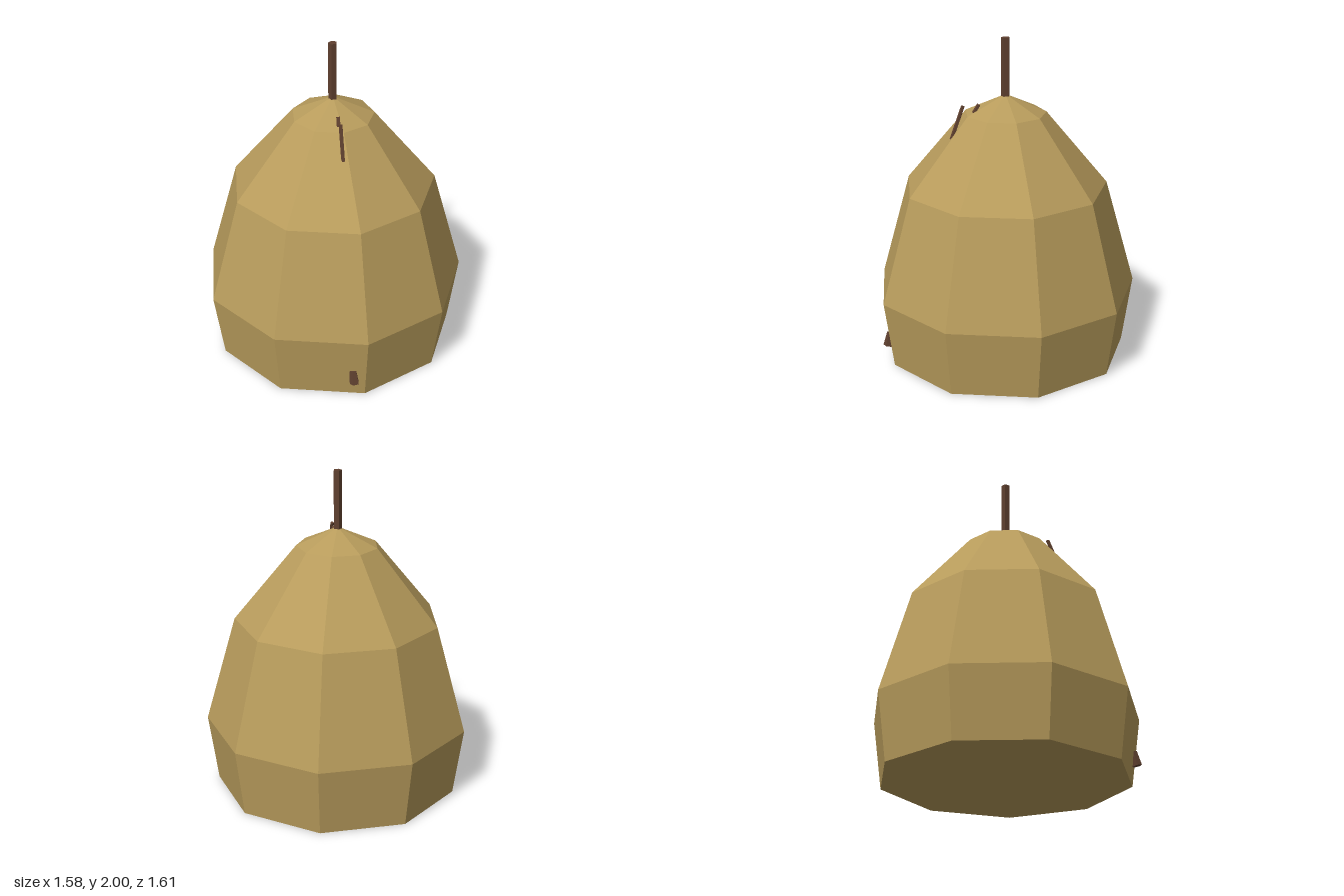
import * as THREE from 'three';

export function createModel() {
  const group = new THREE.Group();
  const straw = new THREE.MeshStandardMaterial({ color: 0xb89c5c, flatShading: true });
  straw.name = 'straw';
  const wood = new THREE.MeshStandardMaterial({ color: 0x5f402f, flatShading: true });
  wood.name = 'darkWood';
  const centreX = -0.025;

  // Nine-sided domed body with a closed base, one corner facing +x
  const profile = [
    [0, 0], [0.757, 0], [0.817, 0.42], [0.63, 1.08], [0.25, 1.54], [0, 1.655],
  ].map(([r, y]) => new THREE.Vector2(r, y));
  const body = new THREE.Mesh(new THREE.LatheGeometry(profile, 9, Math.PI / 2), straw);
  body.name = 'body';
  body.position.x = centreX;
  group.add(body);

  // Five-sided stick between two points
  function stick(name, from, to, rFrom, rTo) {
    const a = new THREE.Vector3(...from);
    const b = new THREE.Vector3(...to);
    const dir = b.clone().sub(a);
    const geo = new THREE.CylinderGeometry(rTo, rFrom, dir.length(), 5, 1, false, Math.PI / 2);
    const mesh = new THREE.Mesh(geo, wood);
    mesh.name = name;
    mesh.position.copy(a).add(b).multiplyScalar(0.5);
    mesh.quaternion.setFromUnitVectors(new THREE.Vector3(0, 1, 0), dir.normalize());
    group.add(mesh);
  }

  // Pole at the peak and the twigs poking through the wall
  stick('topPole', [centreX, 1.55, 0], [centreX, 2, 0], 0.027, 0.027);
  stick('upperTwig', [0.22, 1.405, 0.242], [0.165, 1.605, 0.19], 0.012, 0.012);
  stick('smallTwig', [0.119, 1.555, 0.143], [0.097, 1.605, 0.118], 0.012, 0.012);
  stick('lowerPeg', [0.523, 0.107, 0.55], [0.505, 0.19, 0.54], 0.03, 0.022);

  return group;
}
